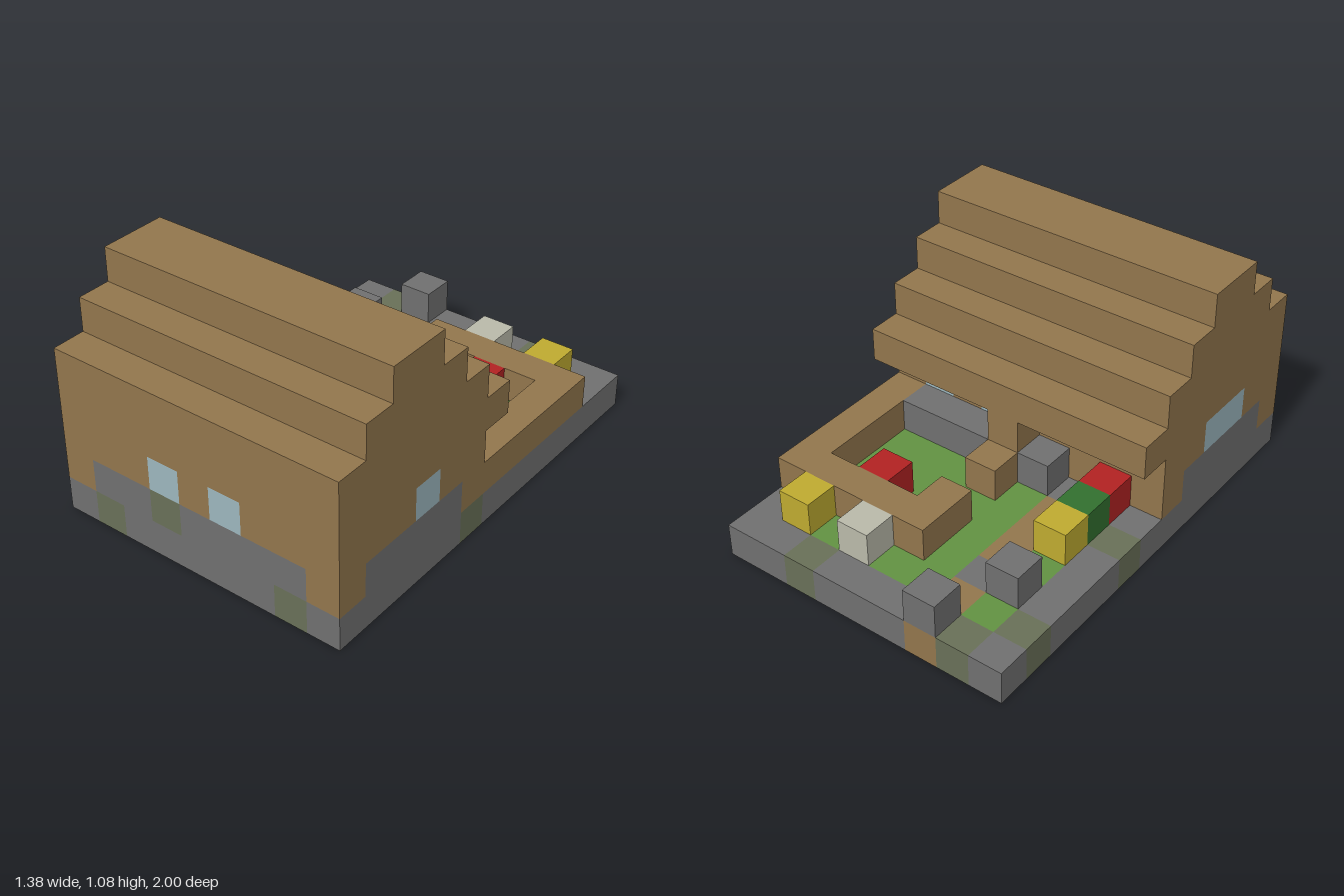
import * as THREE from 'three';
import { mergeGeometries } from 'three/addons/utils/BufferGeometryUtils.js';

const NX = 9, NY = 7, NZ = 13, S = 2 / NZ;

const mat = (name, color) => {
  const m = new THREE.MeshStandardMaterial({ color });
  m.name = name;
  return m;
};

export function createModel() {
  const wood = mat('wood', 0x92764d), stone = mat('stone', 0x707070);
  const moss = mat('mossyStone', 0x697058), grass = mat('grass', 0x629242);
  const glass = mat('glass', 0x9cb6be), red = mat('red', 0xb22222);
  const yellow = mat('yellow', 0xbfab30), leaf = mat('darkGreen', 0x32702f);
  const pale = mat('paleGrey', 0xbabaaa);

  const cells = new Map(), materials = new Map();
  const key = (x, y, z) => `${x},${y},${z}`;
  // Fills a range of blocks; later parts replace earlier ones. z = 0 is the back row.
  const fill = (part, material, [x0, x1], [y0, y1], [z0, z1]) => {
    materials.set(part, material);
    for (let x = x0; x <= x1; x++)
      for (let y = y0; y <= y1; y++)
        for (let z = z0; z <= z1; z++) cells.set(key(x, y, z), part);
  };
  const block = (part, material, x, y, z) => fill(part, material, [x, x], [y, y], [z, z]);

  // Ground layer: stone border, lawn, house floor, path with stepping stones
  fill('foundation', stone, [0, 8], [0, 0], [0, 12]);
  fill('lawn', grass, [1, 7], [0, 0], [1, 6]);
  fill('houseFloor', wood, [1, 7], [0, 0], [7, 11]);
  fill('path', wood, [2, 2], [0, 0], [0, 5]);
  for (const z of [2, 6]) block('steppingStones', stone, 2, 0, z);

  // House body and stepped roof, one height per row from back to front
  fill('houseWalls', wood, [0, 8], [1, 3], [7, 12]);
  [3, 4, 5, 6, 6, 5, 4].forEach((top, i) =>
    fill('roof', wood, [0, 8], [3, top], [6 + i, 6 + i]));

  // Stone lower walls on front and sides
  fill('stoneWallFront', stone, [1, 7], [1, 1], [12, 12]);
  for (const x of [0, 8]) fill('stoneWallSides', stone, [x, x], [1, 1], [8, 11]);

  // Windows
  for (const [x, z] of [[3, 12], [5, 12], [8, 9], [0, 9], [0, 10], [5, 7], [7, 7]])
    block('windows', glass, x, 2, z);

  // Mossy stones
  for (const [x, y, z] of [[1, 0, 12], [7, 0, 12], [3, 1, 12], [8, 0, 7],
    [0, 0, 1], [0, 0, 5], [1, 0, 0], [6, 0, 0]])
    block('mossyStones', moss, x, y, z);

  // Fence around the pen, porch post and stone bench under the overhang
  fill('fence', wood, [4, 8], [1, 1], [2, 2]);
  fill('fence', wood, [8, 8], [1, 1], [2, 6]);
  for (const z of [3, 5]) block('fence', wood, 4, 1, z);
  fill('porchPost', wood, [4, 4], [1, 2], [6, 6]);
  fill('stoneBench', stone, [5, 7], [1, 1], [6, 6]);

  // Loose garden blocks
  for (const [x, z] of [[2, 0], [1, 2], [3, 6]]) block('gardenStones', stone, x, 1, z);
  for (const [x, z] of [[6, 3], [1, 6]]) block('redFlowers', red, x, 1, z);
  for (const [x, z] of [[7, 1], [1, 4]]) block('yellowFlowers', yellow, x, 1, z);
  block('shrub', leaf, 1, 1, 5);
  block('paleFlower', pale, 5, 1, 1);

  // One square for each exposed side of a block
  const sides = [[1, 0, 0], [-1, 0, 0], [0, 1, 0], [0, -1, 0], [0, 0, 1], [0, 0, -1]];
  const faces = new Map();
  for (const [k, part] of cells) {
    const [x, y, z] = k.split(',').map(Number);
    for (const [dx, dy, dz] of sides) {
      if (cells.has(key(x + dx, y + dy, z + dz))) continue;
      const g = new THREE.PlaneGeometry(S, S);
      g.translate(0, 0, S / 2);
      if (dy) g.rotateX(-dy * Math.PI / 2);
      else g.rotateY(Math.atan2(dx, dz));
      g.translate((x + 0.5 - NX / 2) * S, (y + 0.5) * S, (z + 0.5 - NZ / 2) * S);
      if (!faces.has(part)) faces.set(part, []);
      faces.get(part).push(g);
    }
  }

  const model = new THREE.Group();
  model.name = 'blockCottage';
  for (const [part, list] of faces) {
    const mesh = new THREE.Mesh(mergeGeometries(list), materials.get(part));
    mesh.name = part;
    model.add(mesh);
  }
  return model;
}
